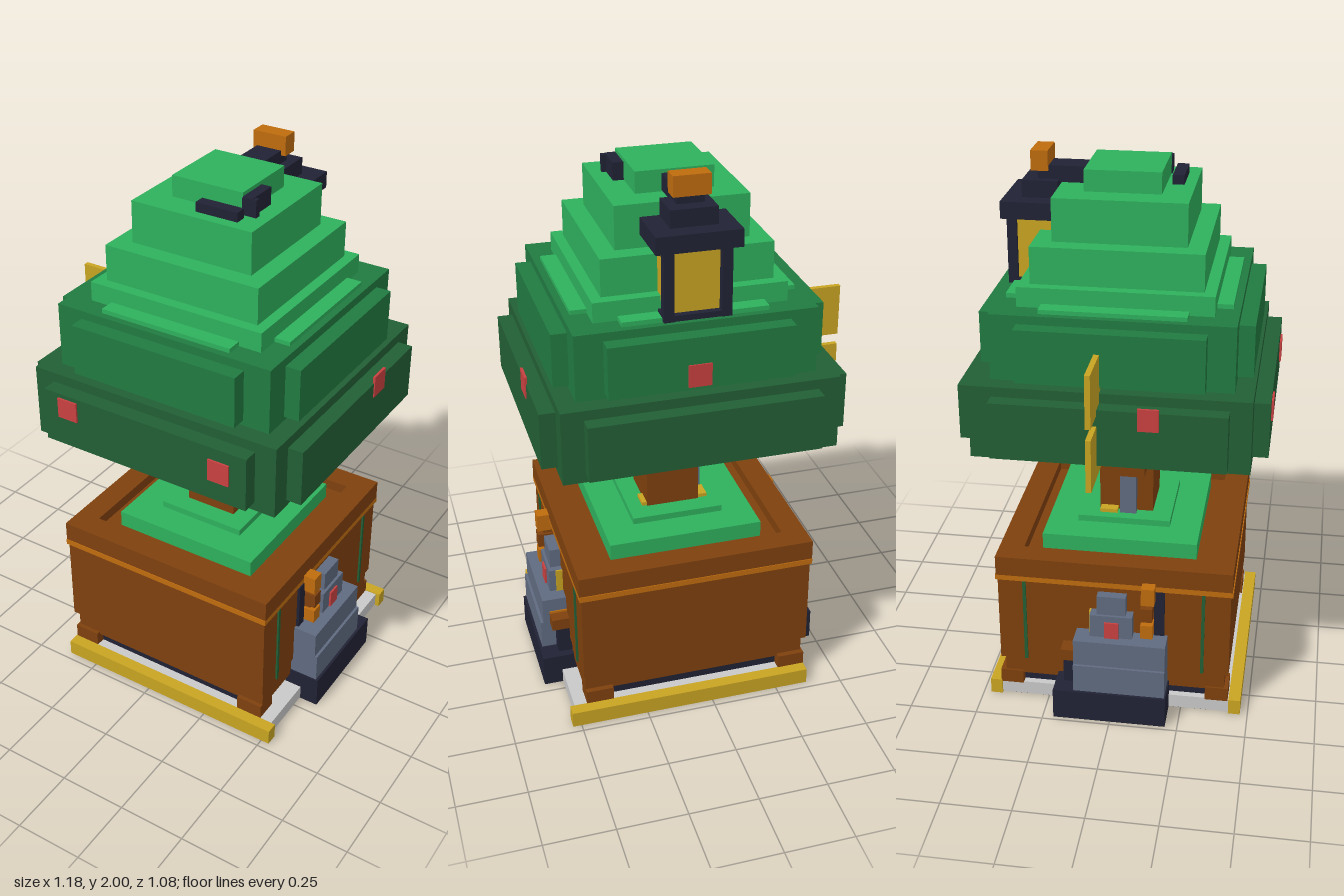
import * as THREE from 'three';

const mat = (name, color) => {
  const m = new THREE.MeshStandardMaterial({ color });
  m.name = name;
  return m;
};

export function createModel() {
  const model = new THREE.Group();
  model.name = 'pottedTree';
  const lightGreen = mat('lightGreen', 0x2eb05c), midGreen = mat('midGreen', 0x217a41);
  const darkGreen = mat('darkGreen', 0x225f35), ink = mat('ink', 0x212234);
  const brown = mat('brown', 0x7f410e), orange = mat('orange', 0xbf6c0e);
  const yellow = mat('yellow', 0xc8a422), slate = mat('slate', 0x606b80);
  const white = mat('white', 0xc8c8c8), red = mat('red', 0xc94141);

  // Box given by its limits on each axis
  const box = (name, m, x0, x1, y0, y1, z0, z1, parent = model) => {
    const mesh = new THREE.Mesh(new THREE.BoxGeometry(x1 - x0, y1 - y0, z1 - z0), m);
    mesh.position.set((x0 + x1) / 2, (y0 + y1) / 2, (z0 + z1) / 2);
    mesh.name = name;
    parent.add(mesh);
  };
  const group = (name) => {
    const g = new THREE.Group();
    g.name = name;
    model.add(g);
    return g;
  };

  // Canopy: stepped tiers, the larger ones with a raised slab on each side
  const canopy = group('canopy');
  const tiers = [
    [midGreen, -0.32, 0.42, 0.975, 1.005, -0.37, 0.37],
    [midGreen, -0.29, 0.39, 1.005, 1.035, -0.42, 0.41],
    [midGreen, -0.375, 0.475, 1.003, 1.035, -0.34, 0.33],
    [darkGreen, -0.43, 0.53, 1.035, 1.3, -0.485, 0.475],
    [darkGreen, -0.485, 0.585, 1.06, 1.265, -0.405, 0.4],
    [darkGreen, -0.353, 0.453, 1.065, 1.265, -0.54, 0.53],
    [midGreen, -0.365, 0.465, 1.3, 1.535, -0.42, 0.41],
    [midGreen, -0.42, 0.52, 1.315, 1.505, -0.325, 0.315],
    [midGreen, -0.268, 0.368, 1.32, 1.505, -0.475, 0.465],
    [lightGreen, -0.34, 0.44, 1.53, 1.55, -0.255, 0.245],
    [lightGreen, -0.2, 0.3, 1.53, 1.551, -0.395, 0.385],
    [lightGreen, -0.283, 0.383, 1.53, 1.605, -0.34, 0.33],
    [lightGreen, -0.245, 0.345, 1.605, 1.735, -0.3, 0.29],
    [lightGreen, -0.18, 0.28, 1.735, 1.885, -0.235, 0.225],
    [lightGreen, -0.085, 0.185, 1.885, 1.96, -0.14, 0.125],
  ];
  for (const [m, ...limits] of tiers) box('canopyTier', m, ...limits, canopy);

  // Red fruit plates
  box('fruit', red, -0.293, -0.215, 1.175, 1.25, 0.528, 0.537, canopy);
  box('fruit', red, 0.31, 0.39, 1.14, 1.22, 0.528, 0.537, canopy);
  box('fruit', red, 0.58, 0.589, 1.21, 1.29, -0.18, -0.1, canopy);
  box('fruit', red, -0.492, -0.483, 1.2, 1.28, 0.1, 0.172, canopy);
  box('fruit', red, 0.02, 0.1, 1.33, 1.41, -0.48, -0.472, canopy);

  // Yellow side fin
  box('upperFin', yellow, -0.595, -0.4, 1.245, 1.435, -0.055, -0.036);
  box('lowerFin', yellow, -0.595, -0.38, 1.015, 1.205, -0.055, -0.036);

  // Small clip near the tip
  const clip = group('clip');
  box('clipFront', ink, 0.045, 0.203, 1.885, 1.918, 0.145, 0.186, clip);
  box('clipSide', ink, 0.185, 0.222, 1.885, 1.947, 0.008, 0.125, clip);
  box('clipCorner', ink, 0.185, 0.237, 1.885, 1.945, 0.107, 0.128, clip);

  // Lantern hanging on the back
  const lantern = group('lantern');
  box('lanternGlass', yellow, -0.055, 0.155, 1.555, 1.78, -0.388, -0.26, lantern);
  for (const x of [-0.065, 0.13]) box('lanternPost', ink, x, x + 0.035, 1.54, 1.78, -0.415, -0.38, lantern);
  box('lanternSill', ink, -0.065, 0.165, 1.54, 1.56, -0.412, -0.3, lantern);
  box('lanternRoof', ink, -0.095, 0.195, 1.78, 1.84, -0.43, -0.235, lantern);
  box('lanternCap', ink, -0.03, 0.13, 1.84, 1.9, -0.366, -0.24, lantern);
  box('lanternArm', ink, 0, 0.095, 1.89, 1.947, -0.315, -0.135, lantern);
  box('lanternKnob', orange, -0.015, 0.112, 1.93, 2, -0.336, -0.276, lantern);

  // Trunk with side branches
  box('trunk', brown, -0.05, 0.147, 0.64, 0.9, -0.1, 0.1);
  box('trunkCore', orange, -0.04, 0.14, 0.9, 0.99, -0.06, 0.06);
  box('branch', brown, -0.15, -0.035, 0.847, 0.99, -0.08, 0.08);
  box('branch', brown, 0.135, 0.245, 0.847, 0.99, -0.08, 0.08);
  box('trunkPost', slate, -0.08, -0.05, 0.65, 0.98, -0.02, 0.04);
  box('trunkFoot', yellow, -0.085, 0.165, 0.65, 0.67, -0.095, -0.03);

  // Soil mound
  box('mossLower', lightGreen, -0.235, 0.333, 0.56, 0.632, -0.285, 0.285);
  box('mossUpper', lightGreen, -0.12, 0.218, 0.63, 0.656, -0.172, 0.172);

  // Planter: solid body, raised rim, band and feet
  const planter = group('planter');
  box('planterBody', brown, -0.38, 0.475, 0.175, 0.57, -0.425, 0.425, planter);
  for (const s of [-1, 1]) {
    const x = 0.048 + s * 0.39, z = s * 0.385;
    box('planterRim', brown, x - 0.044, x + 0.044, 0.535, 0.61, -0.43, 0.43, planter);
    box('planterRim', brown, -0.342, 0.438, 0.535, 0.61, z - 0.045, z + 0.045, planter);
    for (const t of [-1, 1]) {
      const px = 0.048 + t * 0.38, fx = 0.048 + t * 0.37;
      box('planterFoot', brown, fx - 0.05, fx + 0.05, 0.055, 0.11, z - 0.045, z + 0.04, planter);
      // Thin green joint between the side boards
      const jx = px + t * 0.05;
      box('boardJoint', darkGreen, jx - 0.004, jx + 0.004, 0.18, 0.515, s * 0.327 - 0.006, s * 0.327 + 0.006, planter);
    }
  }
  box('planterBand', orange, -0.386, 0.482, 0.515, 0.536, -0.433, 0.433, planter);
  box('planterPlinth', brown, -0.366, 0.468, 0.1, 0.175, -0.41, 0.41, planter);
  box('underside', ink, -0.34, 0.436, 0.05, 0.105, -0.39, 0.39, planter);

  // Pallet
  const pallet = group('pallet');
  box('palletFloor', white, -0.365, 0.515, 0.004, 0.056, -0.43, 0.43, pallet);
  box('palletBottom', ink, -0.36, 0.44, 0, 0.006, -0.39, 0.39, pallet);
  box('palletBottomPatch', darkGreen, -0.1, 0.2, -0.001, 0.004, -0.3, 0.3, pallet);
  for (const z of [-0.45, 0.45]) box('palletRail', yellow, -0.372, 0.532, 0, 0.06, z - 0.022, z + 0.022, pallet);

  // Stepped machine on each side, mirrored about the planter's centre
  for (const s of [1, -1]) {
    const side = group(s > 0 ? 'leftMachine' : 'rightMachine');
    const part = (name, m, a, b, ...rest) =>
      box(name, m, 0.05 + Math.min(s * a, s * b), 0.05 + Math.max(s * a, s * b), ...rest, side);
    part('machineBase', ink, 0.4, 0.535, 0, 0.12, -0.21, 0.205);
    part('machineLower', slate, 0.4, 0.525, 0.12, 0.23, -0.135, 0.2);
    part('machineMiddle', slate, 0.4, 0.515, 0.23, 0.33, -0.135, 0.2);
    part('machineTower', slate, 0.4, 0.475, 0.33, 0.42, -0.08, 0.075);
    part('machineTop', slate, 0.4, 0.465, 0.42, 0.495, -0.055, 0.05);
    part('machineLamp', red, 0.474, 0.482, 0.33, 0.395, -0.026, 0.026);
    part('machineStripe', yellow, 0.4, 0.45, 0.28, 0.42, -0.086, -0.078);
    part('darkStrip', ink, 0.4, 0.436, 0.11, 0.515, 0.15, 0.188);
    part('darkPipe', ink, 0.4, 0.47, 0.11, 0.225, -0.18, -0.135);
    part('spout', orange, 0.42, 0.49, 0.245, 0.278, -0.14, -0.07);
    part('spoutEnd', brown, 0.42, 0.49, 0.225, 0.27, -0.186, -0.12);
    // Stacked lever
    part('leverLow', orange, 0.41, 0.478, 0.34, 0.395, 0.105, 0.15);
    part('leverMiddle', brown, 0.41, 0.478, 0.41, 0.465, 0.105, 0.148);
    part('leverTop', orange, 0.41, 0.478, 0.48, 0.548, 0.107, 0.155);
    part('leverCore', brown, 0.41, 0.455, 0.33, 0.54, 0.115, 0.14);
  }
  return model;
}
